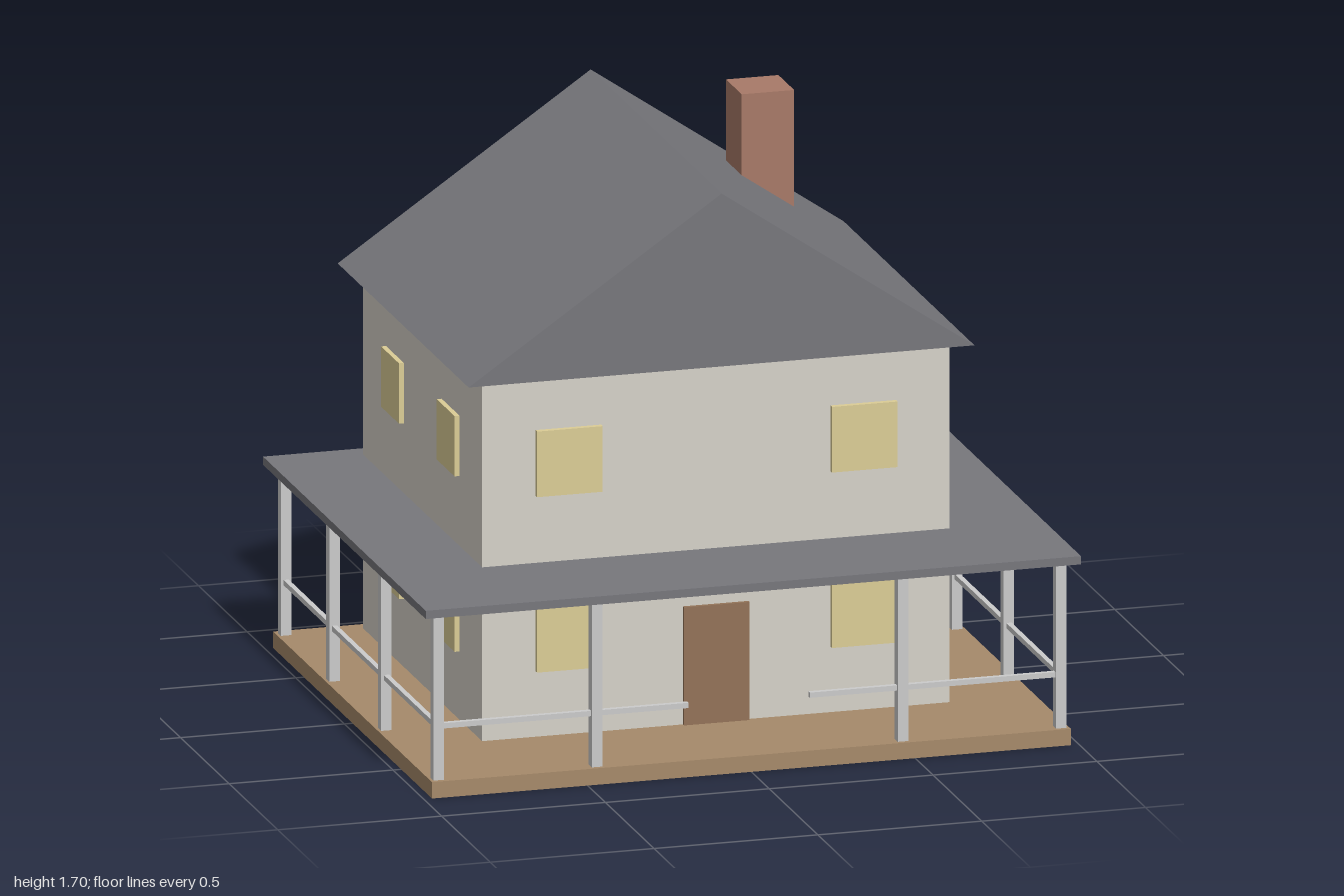
import * as THREE from 'three';

const mat = (color) => new THREE.MeshStandardMaterial({ color });

export function createModel() {
  const house = new THREE.Group();
  house.name = 'house';
  const wall = mat(0xd6d2c8), roofing = mat(0x77777c), wood = mat(0xa68a6a), trim = mat(0xd8d8d4);
  const glass = mat(0xdccd96), doorWood = mat(0x937358), brick = mat(0xa87a68);

  // Box given by its min and max corners
  const box = (name, material, [x0, y0, z0], [x1, y1, z1]) => {
    const mesh = new THREE.Mesh(new THREE.BoxGeometry(x1 - x0, y1 - y0, z1 - z0), material);
    mesh.position.set((x0 + x1) / 2, (y0 + y1) / 2, (z0 + z1) / 2);
    mesh.name = name;
    house.add(mesh);
  };

  // Deck, house body and porch roof
  box('porchDeck', wood, [-0.975, 0, -0.817], [0.975, 0.05, 0.817]);
  box('walls', wall, [-0.713, 0.05, -0.773], [0.713, 1.15, 0.45]);
  box('porchRoof', roofing, [-1, 0.555, -0.837], [1, 0.58, 0.837]);

  // Gable roof
  const gable = new THREE.Shape([
    new THREE.Vector2(-0.772, 1.15), new THREE.Vector2(0.772, 1.15), new THREE.Vector2(0, 1.677),
  ]);
  const roof = new THREE.Mesh(
    new THREE.ExtrudeGeometry(gable, { depth: 1.347, bevelEnabled: false }), roofing);
  roof.position.z = -0.837;
  roof.name = 'gableRoof';
  house.add(roof);

  // Chimney and door
  box('chimney', brick, [0.328, 1.2, -0.55], [0.488, 1.7, -0.388]);
  box('door', doorWood, [-0.1, 0.05, 0.44], [0.1, 0.41, 0.462]);

  for (const s of [-1, 1]) {
    // Windows on two floors, at the front and on the sides
    for (const y of [0.35, 0.885]) {
      const x = s * 0.45;
      box('frontWindow', glass, [x - 0.1, y - 0.1, 0.44], [x + 0.1, y + 0.1, 0.467]);
      for (const z of [0.125, -0.447]) {
        const xs = [s * 0.7, s * 0.728].sort((a, b) => a - b);
        box('sideWindow', glass, [xs[0], y - 0.092, z - 0.092], [xs[1], y + 0.092, z + 0.092]);
      }
    }
    // Porch posts along the front and sides
    const posts = [[0.467, 0.787], [0.95, 0.787], [0.95, 0.248], [0.95, -0.285], [0.95, -0.783]];
    for (const [px, z] of posts) {
      const x = s * px;
      box('porchPost', trim, [x - 0.016, 0.05, z - 0.016], [x + 0.016, 0.555, z + 0.016]);
    }
    // Railings, open before the door
    const ends = [s * 0.185, s * 0.94].sort((a, b) => a - b);
    box('frontRail', trim, [ends[0], 0.204, 0.779], [ends[1], 0.22, 0.795]);
    box('sideRail', trim, [s * 0.95 - 0.008, 0.204, -0.775], [s * 0.95 + 0.008, 0.22, 0.78]);
  }
  return house;
}
